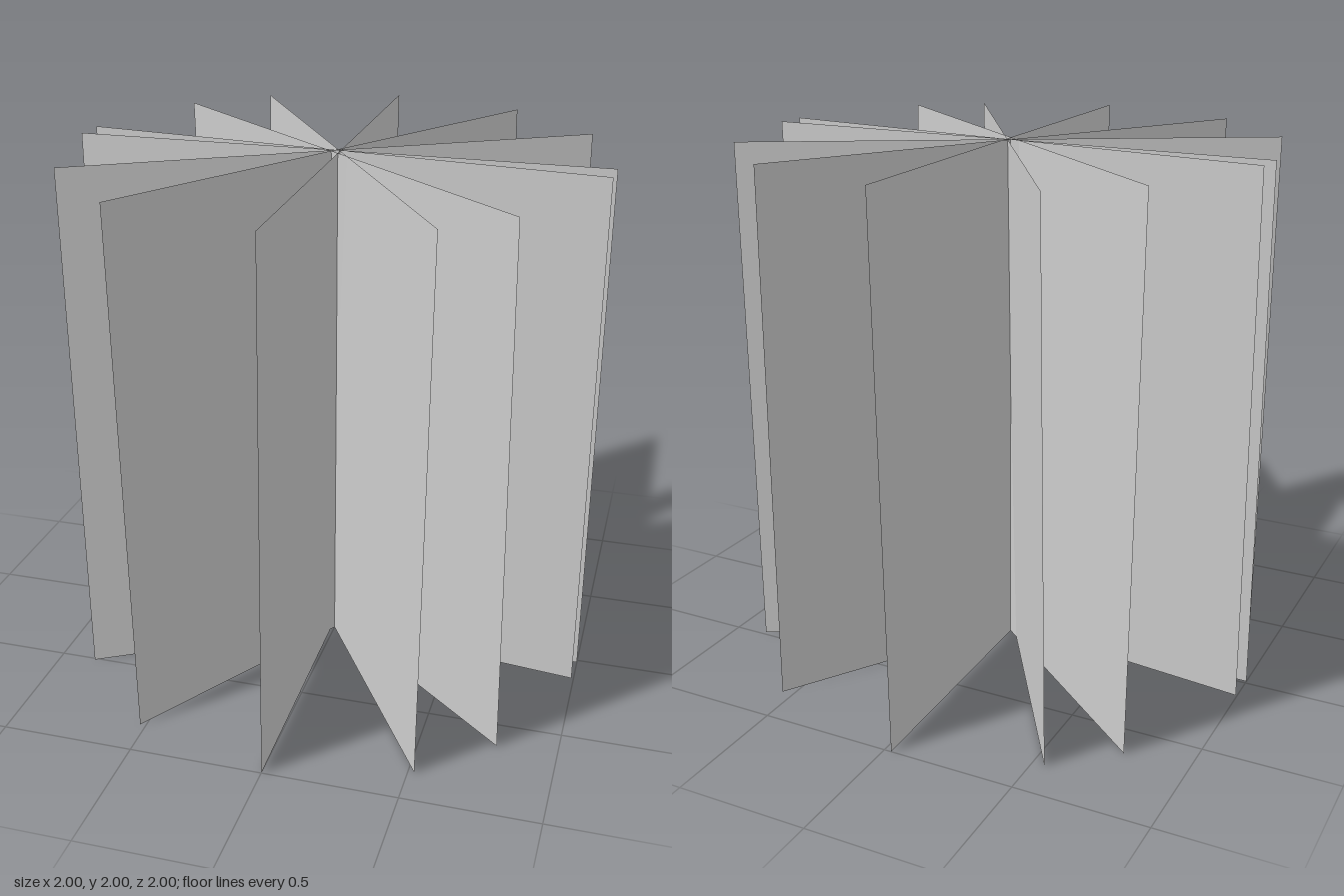
import * as THREE from 'three';

// Crossed upright cards sharing one central axis, each leaning very slightly.
export function createModel() {
  const group = new THREE.Group();
  group.name = 'crossedCards';
  const material = new THREE.MeshStandardMaterial({ color: 0xcccccc, side: THREE.DoubleSide });
  const card = new THREE.PlaneGeometry(2, 2);
  const lean = 0.0135;

  // [turn about the vertical axis in degrees, direction of the lean]
  const cards = [
    [0, -1],
    [29.8, -1],
    [57.7, -1],
    [90.8, 1],
    [122.3, 1],
    [140.5, -1],
    [173.4, 1],
  ];

  cards.forEach(([turn, side], i) => {
    const mesh = new THREE.Mesh(card, material);
    mesh.name = `card${i + 1}`;
    mesh.rotation.set(side * lean, THREE.MathUtils.degToRad(turn), 0, 'YXZ');
    mesh.position.y = 1;
    group.add(mesh);
  });

  return group;
}
